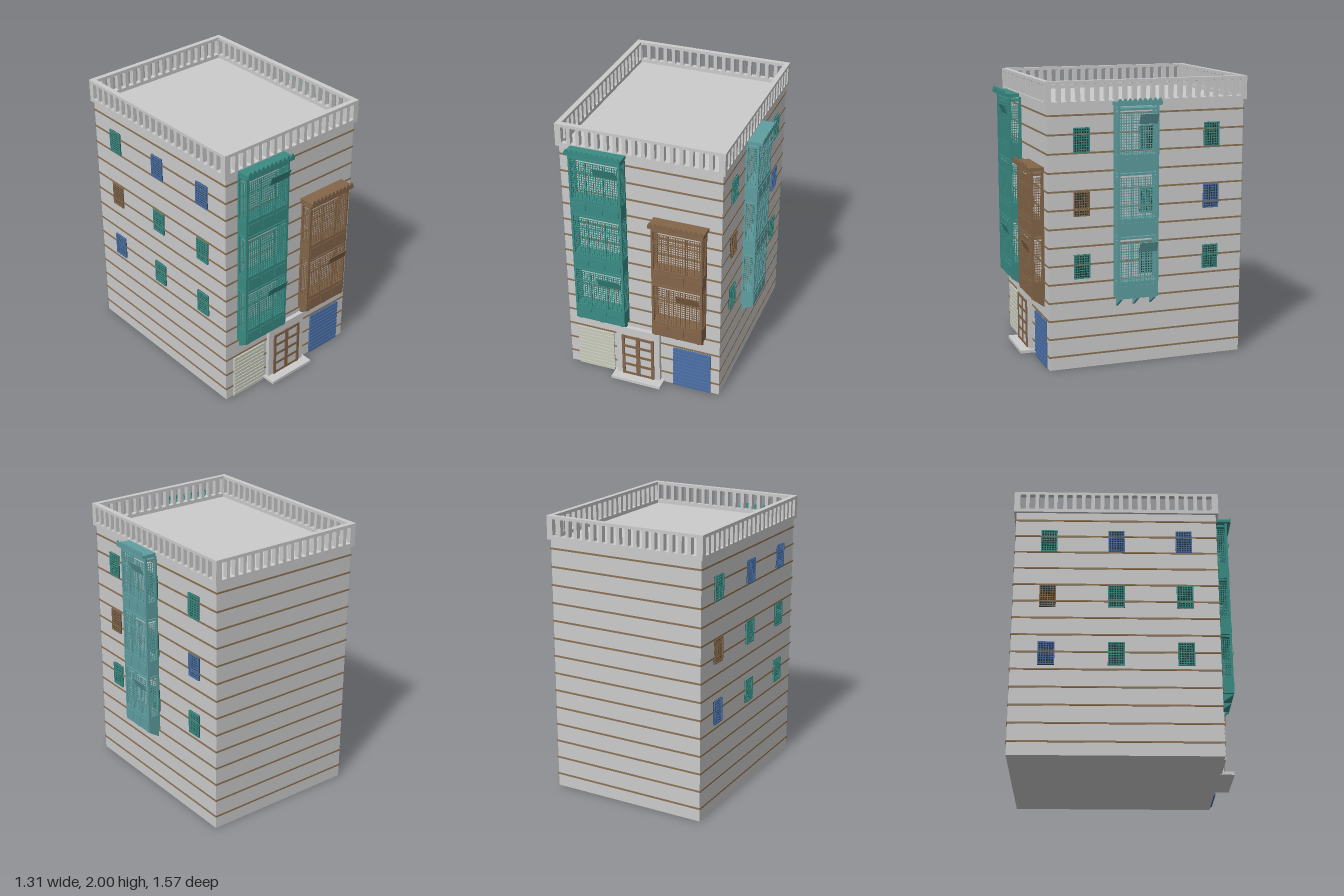
import * as THREE from 'three';
import { mergeGeometries } from 'three/addons/utils/BufferGeometryUtils.js';

const mat = (color) => new THREE.MeshStandardMaterial({ color });
const M = {
  wall: mat(0xcccccc), band: mat(0x8b7355), brown: mat(0x84664a), teal: mat(0x3a8c84),
  aqua: mat(0x5f9ea0), blue: mat(0x4a6fa5), cream: mat(0xc8cabc), dark: mat(0x24332f),
};
// Wall planes
const X0 = -0.64, X1 = 0.52, Z0 = -0.765, Z1 = 0.66, ROOF = 1.835;
const CX = (X0 + X1) / 2, CZ = (Z0 + Z1) / 2;

// Box given by its minimum and maximum corners
function box(x0, x1, y0, y1, z0, z1) {
  return new THREE.BoxGeometry(x1 - x0, y1 - y0, z1 - z0)
    .translate((x0 + x1) / 2, (y0 + y1) / 2, (z0 + z1) / 2);
}
function add(parent, name, geos, material) {
  const mesh = new THREE.Mesh(Array.isArray(geos) ? mergeGeometries(geos) : geos, material);
  mesh.name = name;
  parent.add(mesh);
  return mesh;
}
// Evenly spaced crossing bars in the xy plane
function grid(w, y0, y1, z, nx, ny, t) {
  const bars = [];
  for (let i = 0; i <= nx; i++) {
    const x = -w / 2 + (w * i) / nx;
    bars.push(box(x - t / 2, x + t / 2, y0, y1, z - t / 2, z + t / 2));
  }
  for (let j = 0; j <= ny; j++) {
    const y = y0 + ((y1 - y0) * j) / ny;
    bars.push(box(-w / 2, w / 2, y - t / 2, y + t / 2, z - t / 2, z + t / 2));
  }
  return bars;
}

// Parapet side: a slab pierced by a row of rounded openings
function parapetSide(length, count) {
  const h = 0.165, T = 0.037, r = 0.007, pitch = 0.0667;
  const s = new THREE.Shape();
  s.moveTo(-length / 2, 0).lineTo(length / 2, 0).lineTo(length / 2, h).lineTo(-length / 2, h).closePath();
  for (let i = 0; i < count; i++) {
    const x = (i - (count - 1) / 2) * pitch, a = x - 0.02, b = x + 0.02, c = 0.026, d = 0.144;
    const p = new THREE.Path();
    p.moveTo(a + r, c).lineTo(b - r, c).quadraticCurveTo(b, c, b, c + r)
      .lineTo(b, d - r).quadraticCurveTo(b, d, b - r, d)
      .lineTo(a + r, d).quadraticCurveTo(a, d, a, d - r)
      .lineTo(a, c + r).quadraticCurveTo(a, c, a + r, c);
    s.holes.push(p);
  }
  return new THREE.ExtrudeGeometry(s, { depth: T, bevelEnabled: false, curveSegments: 3 })
    .translate(0, ROOF, -T);
}

// Latticed bay window facing +z, with its back on z = 0
function bay(name, w, d, floors, flaps, teeth, material) {
  const g = new THREE.Group();
  g.name = name;
  const y0 = 0.493, H = 0.442, hw = w / 2, p = 0.016, top = y0 + floors * H;
  // Corner posts
  const posts = [];
  for (const x of [-hw, hw - p]) for (const z of [0, d - p]) posts.push(box(x, x + p, y0, top + 0.012, z, z + p));
  add(g, 'cornerPosts', posts, material);

  const solid = [], lattice = [], panels = [];
  for (let f = 0; f < floors; f++) {
    const y = y0 + f * H, lo = y + 0.12, hi = y + 0.405;
    solid.push(box(-hw, hw, y, lo, 0, d));
    solid.push(box(-hw, hw, y + 0.421, y + 0.436, 0, d));
    // Fine screens on the front and both sides
    lattice.push(...grid(w - p, lo, hi, d - 0.006, Math.round(w / 0.018), 16, 0.0045));
    for (const s of [-1, 1]) {
      lattice.push(...grid(d - p, lo, hi, hw - 0.006, 5, 16, 0.0045)
        .map((b) => b.rotateY((s * Math.PI) / 2).translate(0, 0, d / 2)));
    }
    // Mullions and transom
    for (const s of [-1, 1]) {
      const x = (s * w) / 6;
      solid.push(box(x - 0.004, x + 0.004, lo, hi, d - 0.011, d));
    }
    solid.push(box(-hw, hw, hi - 0.075, hi - 0.067, d - 0.011, d));
    // Raised panels on the parapet of each floor
    for (let i = -1; i <= 1; i++) {
      const x = (i * w) / 3.1, pw = w * 0.135;
      panels.push(box(x - pw, x + pw, y + 0.027, y + 0.093, d, d + 0.004));
    }
  }
  add(g, 'floorsAndRails', solid, material);
  add(g, 'lattice', lattice, material);
  add(g, 'panels', panels, material);

  // Awning flaps hinged at the bottom
  for (const f of flaps) {
    const flap = add(g, 'flap', box(0, w * 0.45, 0, 0.074, 0, 0.004), material);
    flap.position.set(0, y0 + f * H + 0.329, d + 0.004);
    flap.rotation.x = 0.38;
  }

  // Roof slab and toothed crest
  const rw = hw + 0.013, rd = d + 0.022;
  add(g, 'bayRoof', box(-rw, rw, top + 0.012, top + 0.036, 0, rd), material);
  const crest = new THREE.Shape();
  crest.moveTo(-rw, 0).lineTo(rw, 0);
  const tw = (2 * rw) / teeth;
  for (let i = 0; i < teeth; i++) {
    const x = rw - i * tw;
    crest.lineTo(x, 0.022).lineTo(x - tw * 0.35, 0.046).lineTo(x - tw * 0.65, 0.046).lineTo(x - tw, 0.022);
  }
  crest.closePath();
  add(g, 'crest', new THREE.ExtrudeGeometry(crest, { depth: 0.006, bevelEnabled: false })
    .translate(0, top + 0.016, rd), material);

  // Sloping brackets underneath
  const wedge = new THREE.Shape();
  wedge.moveTo(0, y0).lineTo(0, y0 - 0.068).lineTo(-d, y0 - 0.004).lineTo(-d, y0).closePath();
  const brackets = [-1, 0, 1].map((i) =>
    new THREE.ExtrudeGeometry(wedge, { depth: 0.016, bevelEnabled: false })
      .translate(0, 0, -0.008).rotateY(Math.PI / 2).translate(i * (hw - 0.025), 0, 0));
  add(g, 'brackets', brackets, material);
  return g;
}

// Small barred window facing +z
function windowUnit(material) {
  const g = new THREE.Group();
  g.name = 'sideWindow';
  const w = 0.115, h = 0.17, t = 0.008;
  add(g, 'pane', box(-w / 2, w / 2, -h / 2, h / 2, 0, 0.004), M.dark);
  const frame = [
    box(-w / 2, w / 2, h / 2 - t, h / 2, 0, 0.012), box(-w / 2, w / 2, -h / 2, -h / 2 + t, 0, 0.012),
    box(-w / 2, -w / 2 + t, -h / 2, h / 2, 0, 0.012), box(w / 2 - t, w / 2, -h / 2, h / 2, 0, 0.012),
  ];
  add(g, 'windowBars', [...frame, ...grid(w - t, -h / 2 + t / 2, h / 2 - t / 2, 0.008, 6, 9, 0.005)], material);
  return g;
}

// Rolling shutter made of slats
function shutter(name, x0, x1, material) {
  const g = new THREE.Group();
  g.name = name;
  const h = 0.34, n = 11, slats = [box(x0, x1, 0, h, Z1, Z1 + 0.006)];
  for (let i = 0; i < n; i++) {
    slats.push(box(x0, x1, (h * i) / n + 0.003, (h * (i + 1)) / n - 0.003, Z1 + 0.006, Z1 + 0.012));
  }
  add(g, 'slats', slats, material);
  return g;
}

export function createModel() {
  const root = new THREE.Group();
  root.name = 'townHouse';
  add(root, 'walls', box(X0, X1, 0, ROOF, Z0, Z1), M.wall);

  // Brick bands running round the walls
  const bands = [], e = 0.005;
  for (let i = 0; i < 14; i++) {
    const y = 0.095 + i * 0.1289, a = y - 0.006, b = y + 0.006;
    bands.push(box(X0 - e, X1 + e, a, b, Z1 - e, Z1 + e), box(X0 - e, X1 + e, a, b, Z0 - e, Z0 + e),
      box(X0 - e, X0 + e, a, b, Z0 + e, Z1 - e), box(X1 - e, X1 + e, a, b, Z0 + e, Z1 - e));
  }
  add(root, 'bands', bands, M.band);

  // Pierced parapet
  const o = 0.018, T = 0.037, W = X1 - X0 + 2 * o, D = Z1 - Z0 + 2 * o;
  add(root, 'parapet', [
    parapetSide(W, 17).translate(CX, 0, Z1 + o),
    parapetSide(W, 17).rotateY(Math.PI).translate(CX, 0, Z0 - o),
    parapetSide(D - 2 * T, 21).rotateY(Math.PI / 2).translate(X1 + o, 0, CZ),
    parapetSide(D - 2 * T, 21).rotateY(-Math.PI / 2).translate(X0 - o, 0, CZ),
  ], M.wall);

  // Bay windows
  const tall = bay('tallFrontBay', 0.374, 0.09, 3, [0, 2], 11, M.teal);
  tall.position.set(-0.351, 0, Z1);
  const short = bay('shortFrontBay', 0.37, 0.09, 2, [0], 11, M.brown);
  short.position.set(0.231, 0, Z1);
  const side = bay('sideBay', 0.295, 0.095, 3, [0, 2], 9, M.aqua);
  side.position.set(X1, 0, 0.047);
  side.rotation.y = Math.PI / 2;
  root.add(tall, short, side);

  // Side windows, three by three on each side wall
  const rightTints = [M.teal, M.teal, M.teal, M.brown, M.teal, M.blue, M.teal, M.teal, M.teal];
  const leftTints = [M.teal, M.teal, M.blue, M.teal, M.teal, M.brown, M.blue, M.blue, M.teal];
  for (let r = 0; r < 3; r++) {
    for (let c = 0; c < 3; c++) {
      for (const s of [-1, 1]) {
        const win = windowUnit(s > 0 ? rightTints[r * 3 + c] : leftTints[r * 3 + c]);
        win.position.set(s > 0 ? X1 : X0, 0.727 + r * 0.437, 0.425 - c * 0.475);
        win.rotation.y = (s * Math.PI) / 2;
        root.add(win);
      }
    }
  }

  // Entrance: stone surround, panelled double door and step
  const door = new THREE.Group();
  door.name = 'entrance';
  add(door, 'doorSurround', box(-0.26, 0.075, 0, 0.44, Z1, 0.69), M.wall);
  add(door, 'doorStep', box(-0.28, 0.1, 0, 0.022, Z1, 0.76), M.wall);
  const fx0 = -0.215, fx1 = 0.032, fm = (fx0 + fx1) / 2;
  const frame = [box(fx0, fx0 + 0.02, 0.02, 0.375, 0.69, 0.7), box(fx1 - 0.02, fx1, 0.02, 0.375, 0.69, 0.7),
    box(fm - 0.014, fm + 0.014, 0.02, 0.375, 0.69, 0.698)];
  for (let i = 0; i < 5; i++) frame.push(box(fx0, fx1, 0.02 + i * 0.083, 0.04 + i * 0.083, 0.69, 0.697));
  add(door, 'doorFrame', frame, M.brown);
  const doorPanels = [];
  for (const s of [-1, 1]) {
    for (let i = 0; i < 4; i++) {
      const x = fm + s * 0.059, y = 0.0715 + i * 0.083;
      doorPanels.push(box(x - 0.041, x + 0.041, y - 0.029, y + 0.029, 0.69, 0.695));
    }
  }
  add(door, 'doorPanels', doorPanels, M.wall);
  root.add(door);

  root.add(shutter('leftShutter', 0.172, 0.456, M.blue), shutter('rightShutter', -0.575, -0.29, M.cream));
  return root;
}
